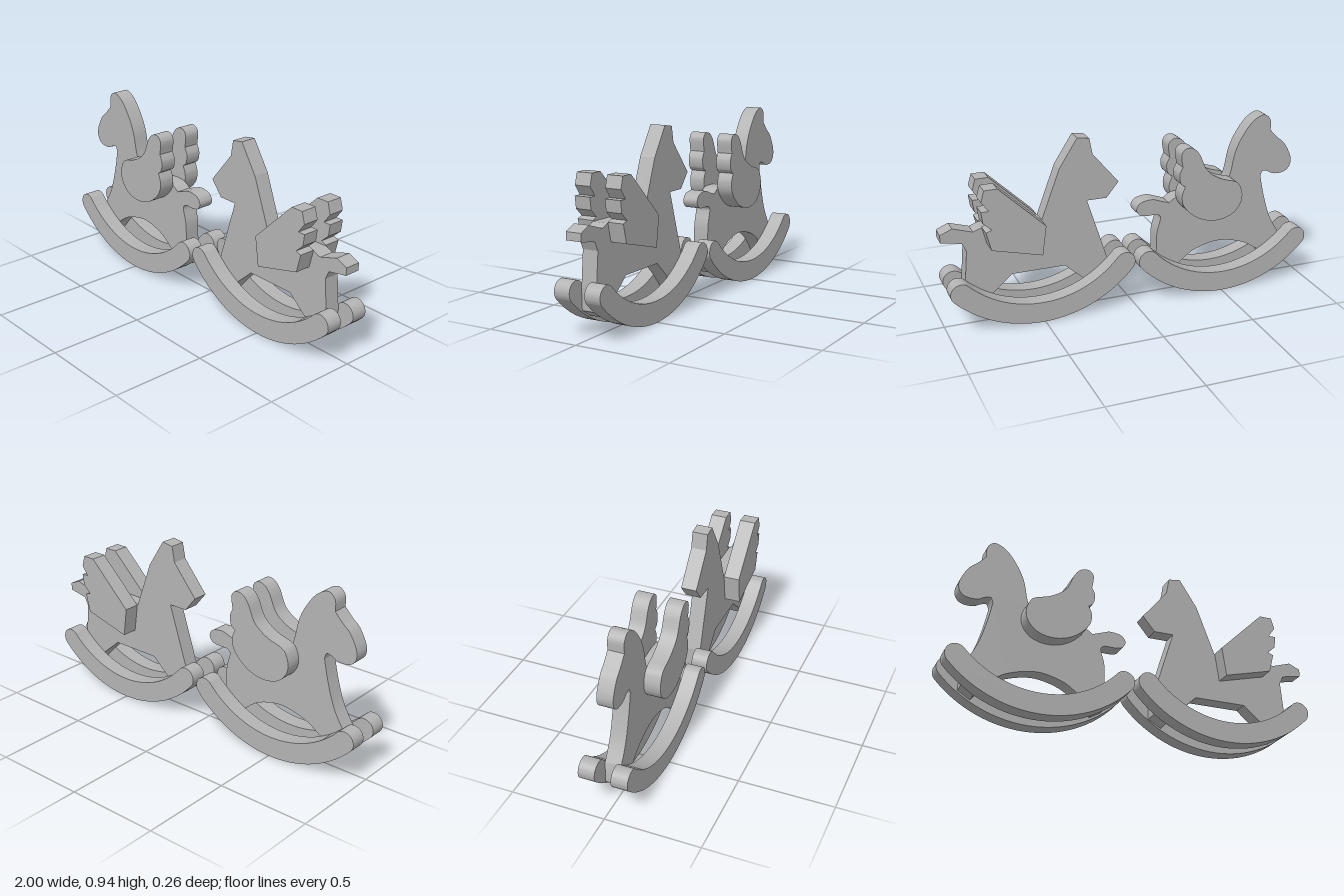
import * as THREE from 'three';
import { toCreasedNormals } from 'three/addons/utils/BufferGeometryUtils.js';

const BODY = 0.084; // thickness of the middle board
const SIDE = 0.086; // thickness of the outer boards

// Closed outline from runs of points; each run is a smooth curve, with corners between runs
function smoothOutline(runs) {
  const shape = new THREE.Shape();
  shape.moveTo(...runs[0][0]);
  runs.forEach((run, i) => {
    const pts = (i === 0 ? run.slice(1) : run).map((p) => new THREE.Vector2(...p));
    if (pts.length === 1) shape.lineTo(pts[0].x, pts[0].y);
    else shape.splineThru(pts);
  });
  return shape;
}

function straightOutline(points) {
  return new THREE.Shape(points.map((p) => new THREE.Vector2(...p)));
}

// Round-ended arc; a0 and a1 are the angles of its two ends
function rockerOutline(cx, a0, a1) {
  const cy = 0.65, r = 0.595, w = 0.055;
  const end = (a) => [cx + r * Math.cos(a), cy + r * Math.sin(a)];
  const shape = new THREE.Shape();
  shape.absarc(cx, cy, r + w, a0, a1, false);
  shape.absarc(...end(a1), w, a1, a1 + Math.PI, false);
  shape.absarc(cx, cy, r - w, a1, a0, true);
  shape.absarc(...end(a0), w, a0 + Math.PI, a0 + Math.PI * 2, false);
  return shape;
}

function board(shape, depth, segments, smooth) {
  const geo = new THREE.ExtrudeGeometry(shape, { depth, bevelEnabled: false, curveSegments: segments });
  geo.translate(0, 0, -depth / 2);
  return smooth ? toCreasedNormals(geo, 0.6) : geo;
}

export function createModel() {
  const model = new THREE.Group();
  model.name = 'rockingHorses';
  const grey = new THREE.MeshStandardMaterial({ color: 0xb3b3b3 });
  grey.name = 'grey';

  // One horse: a middle body with a wing and a rocker on each side
  function horse(name, body, wing, rocker, smooth) {
    const group = new THREE.Group();
    group.name = name;
    const add = (partName, geo, z) => {
      const mesh = new THREE.Mesh(geo, grey);
      mesh.name = partName;
      mesh.position.z = z;
      group.add(mesh);
    };
    add('body', board(body, BODY, 6, smooth), 0);
    const wingGeo = board(wing, SIDE, 6, smooth);
    const rockerGeo = board(rocker, SIDE, 28, true);
    for (const [side, s] of [['front', 1], ['back', -1]]) {
      const z = s * (BODY + SIDE) / 2;
      add(side + 'Wing', wingGeo, z);
      add(side + 'Rocker', rockerGeo, z);
    }
    model.add(group);
  }

  // Curved horse
  const curvedBody = smoothOutline([
    // forehead and muzzle
    [[-0.802, 0.85], [-0.845, 0.805], [-0.89, 0.765], [-0.93, 0.69], [-0.93, 0.638], [-0.898, 0.605],
      [-0.837, 0.6], [-0.792, 0.62], [-0.765, 0.623], [-0.754, 0.595]],
    // chest and front leg
    [[-0.78, 0.48], [-0.822, 0.35], [-0.882, 0.246]],
    [[-0.885, 0.13]], [[-0.82, 0.09]], [[-0.754, 0.166]],
    // belly arch
    [[-0.658, 0.225], [-0.51, 0.257], [-0.37, 0.225], [-0.278, 0.16]],
    [[-0.2, 0.09]], [[-0.14, 0.125]], [[-0.15, 0.257]],
    // back leg
    [[-0.152, 0.353], [-0.168, 0.417]],
    // tail
    [[-0.172, 0.445], [-0.15, 0.463], [-0.096, 0.463], [-0.055, 0.472], [-0.036, 0.505], [-0.059, 0.54],
      [-0.12, 0.551], [-0.168, 0.537], [-0.219, 0.519]],
    // back, neck and crown
    [[-0.262, 0.545], [-0.34, 0.55], [-0.43, 0.54], [-0.51, 0.555], [-0.555, 0.595], [-0.576, 0.652],
      [-0.597, 0.75], [-0.634, 0.83], [-0.693, 0.908], [-0.757, 0.94], [-0.798, 0.91], [-0.802, 0.85]],
  ]);
  const curvedWing = smoothOutline([
    // upper edge and first feather
    [[-0.551, 0.626], [-0.47, 0.652], [-0.396, 0.706], [-0.353, 0.795], [-0.316, 0.834], [-0.273, 0.838],
      [-0.249, 0.807], [-0.257, 0.74]],
    // second feather
    [[-0.24, 0.7], [-0.248, 0.652], [-0.273, 0.631]],
    // third feather and rounded lower edge
    [[-0.256, 0.583], [-0.267, 0.524], [-0.321, 0.465], [-0.39, 0.428], [-0.47, 0.417], [-0.545, 0.438],
      [-0.592, 0.487], [-0.604, 0.545], [-0.583, 0.604], [-0.551, 0.626]],
  ]);
  const deg = Math.PI / 180;
  horse('curvedHorse', curvedBody, curvedWing, rockerOutline(-0.508, -137 * deg, -43 * deg), true);

  // Angular horse
  const angularBody = straightOutline([
    // crown, face and jaw
    [0.283, 0.94], [0.219, 0.93], [0.203, 0.845], [0.064, 0.679], [0.13, 0.599], [0.236, 0.599],
    // front leg, belly and back leg
    [0.128, 0.26], [0.125, 0.13], [0.195, 0.09], [0.267, 0.171], [0.362, 0.257], [0.643, 0.257],
    [0.749, 0.166], [0.82, 0.09], [0.885, 0.13], [0.888, 0.24], [0.872, 0.42],
    // tail
    [0.893, 0.465], [1.0, 0.485], [1.0, 0.525], [0.938, 0.552], [0.834, 0.519],
    // back and neck
    [0.79, 0.535], [0.478, 0.53], [0.38, 0.79],
  ]);
  const angularWing = straightOutline([
    [0.481, 0.53], [0.722, 0.762], [0.79, 0.762], [0.807, 0.702], [0.77, 0.652], [0.81, 0.652],
    [0.802, 0.59], [0.759, 0.551], [0.79, 0.54], [0.765, 0.442], [0.503, 0.374],
  ]);
  horse('angularHorse', angularBody, angularWing, rockerOutline(0.508, -139 * deg, -45 * deg), false);

  return model;
}
